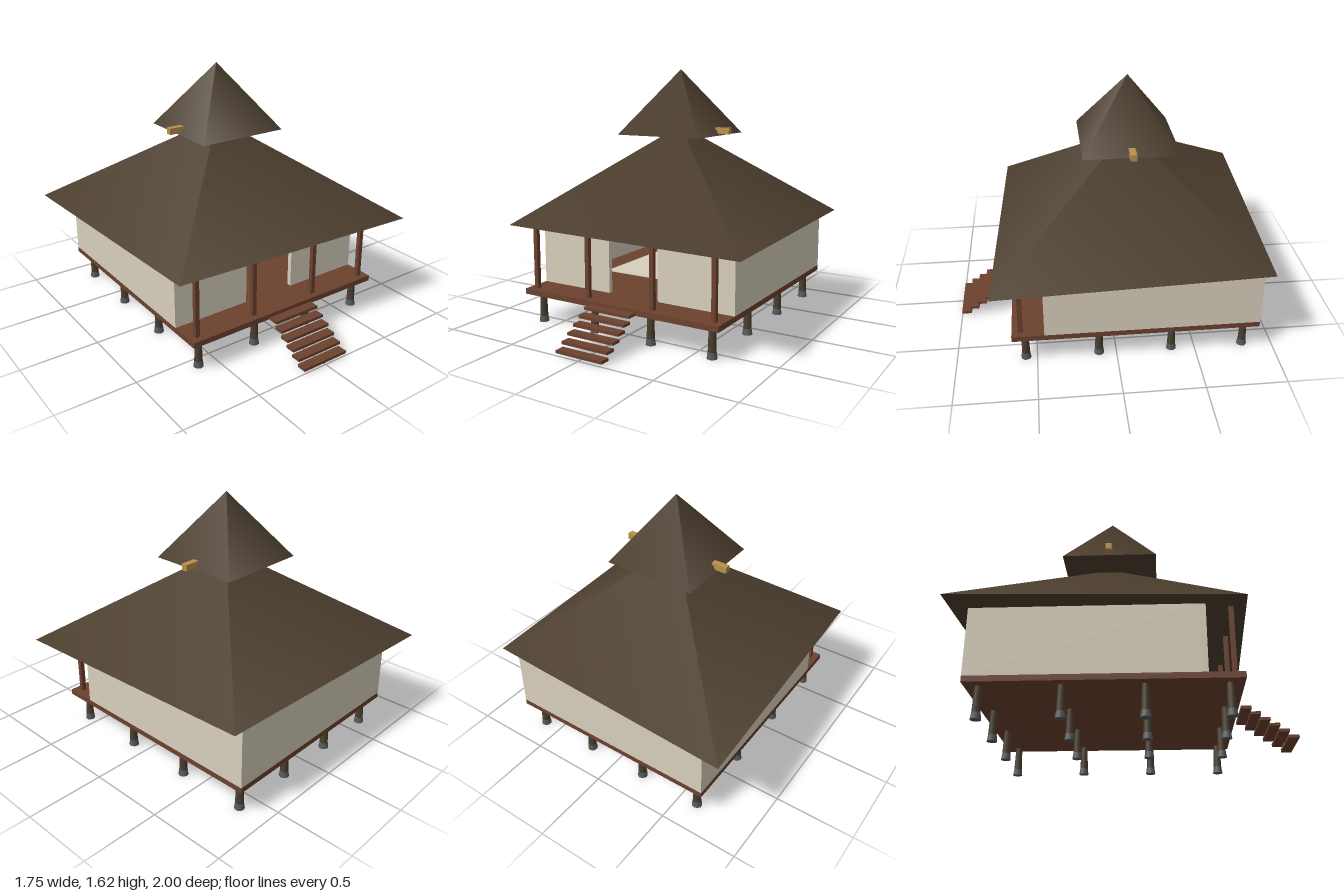
import * as THREE from 'three';

const mat = (name, color) => {
  const m = new THREE.MeshStandardMaterial({ color });
  m.name = name;
  return m;
};

export function createModel() {
  const thatch = mat('thatch', 0x4d3f2f);
  const timber = mat('timber', 0x6b412e);
  const pileWood = mat('pileWood', 0x4a3f30);
  const stone = mat('stone', 0x57595a);
  const plaster = mat('plaster', 0xd8cfbd);
  const straw = mat('straw', 0xb8924a);

  const house = new THREE.Group();
  house.name = 'stiltHouse';

  const add = (name, geometry, material, x, y, z) => {
    const m = new THREE.Mesh(geometry, material);
    m.name = name;
    m.position.set(x, y, z);
    house.add(m);
    return m;
  };
  // Box given by its limits on each axis
  const box = (name, material, [x0, x1], [y0, y1], [z0, z1]) =>
    add(name, new THREE.BoxGeometry(x1 - x0, y1 - y0, z1 - z0), material,
      (x0 + x1) / 2, (y0 + y1) / 2, (z0 + z1) / 2);

  const FLOOR = 0.225, EAVE = 0.635, MID_Z = -0.125;

  // Piles on flared stone feet
  const pileGeo = new THREE.CylinderGeometry(0.021, 0.026, 0.155, 10);
  const footGeo = new THREE.CylinderGeometry(0.026, 0.032, 0.04, 10);
  for (let i = 0; i < 4; i++) {
    for (let j = 0; j < 4; j++) {
      const x = -0.62 + i * 0.4133, z = 0.57 - j * 0.46;
      add('pile', pileGeo, pileWood, x, 0.1175, z);
      add('pileFoot', footGeo, stone, x, 0.02, z);
    }
  }

  // Floor deck and open stair
  box('deck', timber, [-0.7, 0.7], [0.19, FLOOR], [-0.89, 0.65]);
  for (let i = 0; i < 6; i++) {
    const y = 0.024 + i * 0.0365, z = 0.968 - i * 0.0535;
    box('stairTread', timber, [-0.163, 0.163], [y - 0.009, y + 0.009], [z - 0.032, z + 0.032]);
  }

  // Walls, with a doorway in the front
  const rise = [FLOOR, EAVE];
  box('backWall', plaster, [-0.67, 0.67], rise, [-0.89, -0.86]);
  for (const s of [-1, 1]) {
    const span = (a, b) => [Math.min(s * a, s * b), Math.max(s * a, s * b)];
    box('sideWall', plaster, span(0.67, 0.7), rise, [-0.89, 0.42]);
    box('frontWall', plaster, span(0.18, 0.7), rise, [0.42, 0.45]);
    // Veranda posts
    for (const x of [0.235, 0.645])
      box('verandaPost', timber, span(x - 0.014, x + 0.014), rise, [0.58, 0.608]);
  }
  box('doorLintel', straw, [-0.18, 0.18], [0.592, EAVE], [0.415, 0.455]);

  // Floor mat and hearth inside
  box('floorMat', plaster, [-0.5, 0.5], [FLOOR, FLOOR + 0.006], [-0.7, 0.03]);
  add('hearth', new THREE.CylinderGeometry(0.08, 0.092, 0.02, 16), stone, 0, 0.241, MID_Z);
  add('hearthBed', new THREE.CylinderGeometry(0.065, 0.07, 0.008, 16), straw, 0, 0.255, MID_Z);

  // Main roof, a slightly skewed pyramid
  const mainRoof = add('mainRoof', new THREE.ConeGeometry(1, 0.62, 4), thatch, 0, EAVE + 0.31, MID_Z);
  mainRoof.scale.set(1.131, 1, 1.237);
  mainRoof.rotation.y = Math.PI / 4;

  // Cap roof and the ridge beam passing through it
  const capRoof = add('capRoof', new THREE.ConeGeometry(0.424, 0.42, 4), thatch, 0, 1.41, MID_Z);
  capRoof.rotation.y = Math.PI / 4;
  box('ridgeBeam', straw, [-0.365, 0.365], [1.21, 1.25], [MID_Z - 0.02, MID_Z + 0.02]);

  return house;
}
